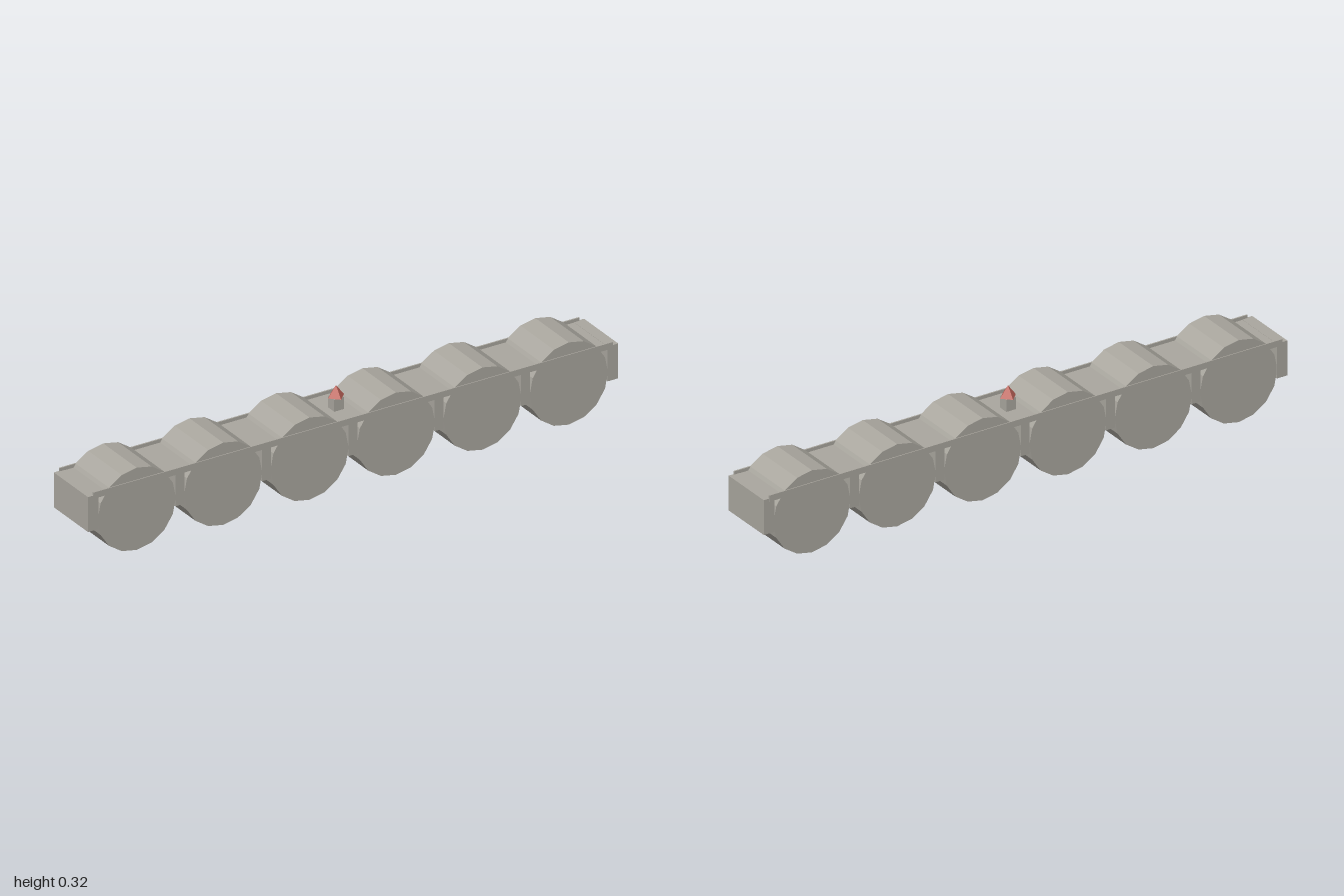
import * as THREE from 'three';

const stone = new THREE.MeshStandardMaterial({ color: 0xaaa79f });
stone.name = 'grey stone';
const red = new THREE.MeshStandardMaterial({ color: 0xc0645a });
red.name = 'red cap';

// Faceted normals for the low-poly parts
function faceted(geometry) {
  const g = geometry.toNonIndexed();
  g.computeVertexNormals();
  return g;
}

export function createModel() {
  const model = new THREE.Group();
  model.name = 'rollerBeam';

  function add(name, geometry, material, x, y, z) {
    const mesh = new THREE.Mesh(geometry, material);
    mesh.name = name;
    mesh.position.set(x, y, z);
    model.add(mesh);
    return mesh;
  }
  // Box given by its limits
  function box(name, x0, x1, y0, y1, z0, z1) {
    return add(name, new THREE.BoxGeometry(x1 - x0, y1 - y0, z1 - z0), stone,
      (x0 + x1) / 2, (y0 + y1) / 2, (z0 + z1) / 2);
  }

  const count = 6, spacing = 0.326, radius = 0.1475;

  // Row of sixteen-sided drums with a corner at top and bottom
  const drum = faceted(new THREE.CylinderGeometry(radius, radius, 0.2, 16).rotateX(Math.PI / 2));
  for (let i = 0; i < count; i++) {
    add('drum', drum, stone, (i - (count - 1) / 2) * spacing, radius, 0);
  }

  // Posts filling the gaps between drums
  for (let i = 1; i < count; i++) {
    const x = (i - count / 2) * spacing;
    box('post', x - 0.017, x + 0.017, 0.116, 0.23, -0.1, 0.1);
  }

  // Thin deck over the posts
  box('deck', -0.99, 0.99, 0.228, 0.24, -0.1, 0.1);

  for (const s of [-1, 1]) {
    // End blocks
    const a = s * 0.96, b = s;
    box('endBlock', Math.min(a, b), Math.max(a, b), 0.116, 0.241, -0.102, 0.102);
    // Narrow rails along both long sides
    box('sideRail', -0.98, 0.98, 0.23, 0.252, s * 0.1005 - 0.0025, s * 0.1005 + 0.0025);
  }

  // Small post with a pyramid cap in the middle
  box('finialPost', -0.018, 0.018, 0.235, 0.283, -0.018, 0.018);
  add('finialCap', faceted(new THREE.ConeGeometry(0.03, 0.04, 4)), red, 0, 0.303, 0);

  return model;
}
